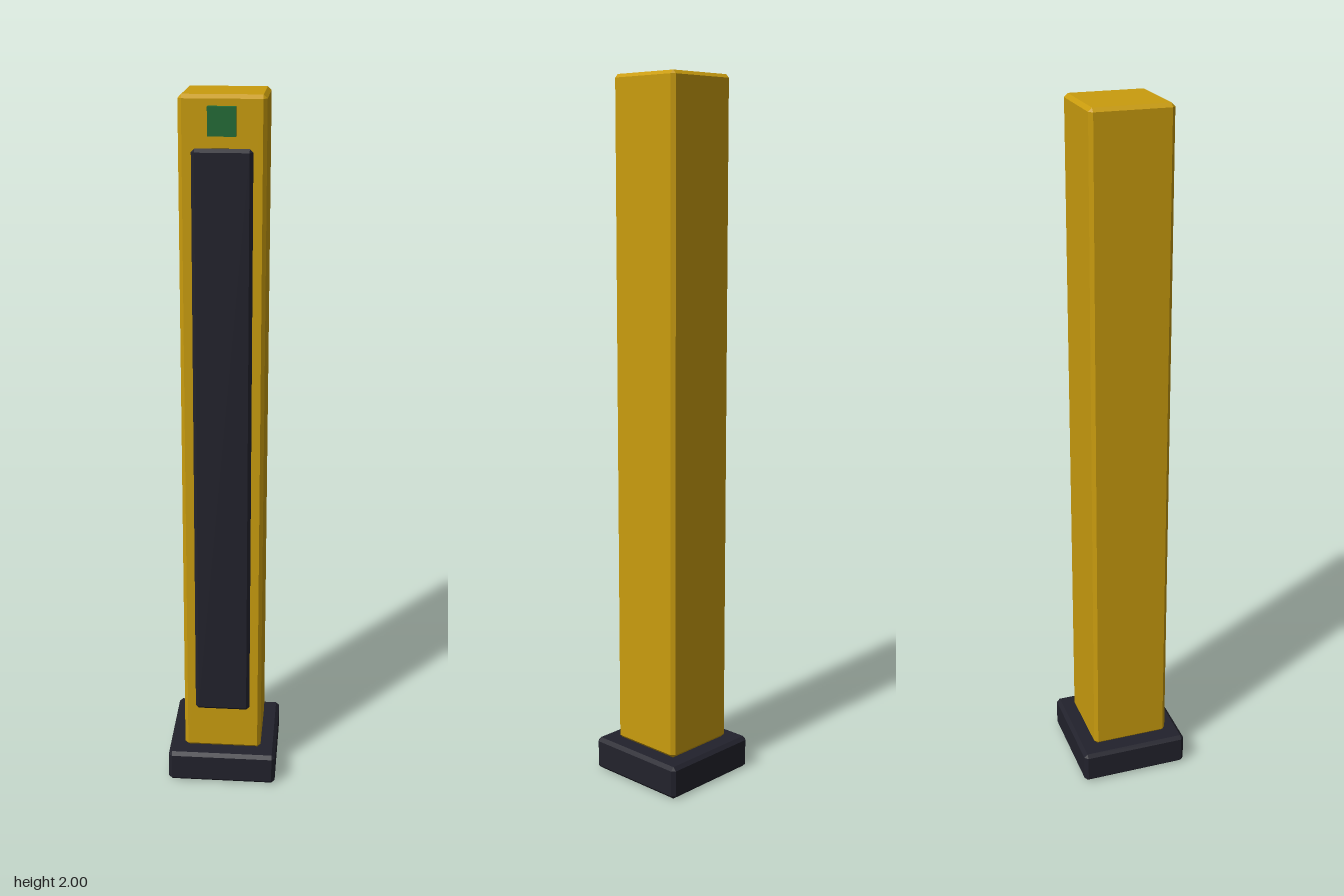
import * as THREE from 'three';
import { ConvexGeometry } from 'three/addons/geometries/ConvexGeometry.js';

// Box with every edge cut at 45 degrees by c
function chamferedBox(w, h, d, c) {
  const points = [];
  for (const x of [-w / 2, w / 2])
    for (const y of [-h / 2, h / 2])
      for (const z of [-d / 2, d / 2]) {
        const ix = x - Math.sign(x) * c, iy = y - Math.sign(y) * c, iz = z - Math.sign(z) * c;
        points.push(
          new THREE.Vector3(x, iy, iz),
          new THREE.Vector3(ix, y, iz),
          new THREE.Vector3(ix, iy, z)
        );
      }
  return new ConvexGeometry(points);
}

function makeMaterial(name, color) {
  const material = new THREE.MeshStandardMaterial({ color });
  material.name = name;
  return material;
}

export function createModel() {
  const group = new THREE.Group();
  group.name = 'post';
  const yellow = makeMaterial('yellow', 0xc99c0e);
  const dark = makeMaterial('darkGrey', 0x22222c);
  const green = makeMaterial('green', 0x206a35);

  const add = (name, geometry, material, y, z) => {
    const mesh = new THREE.Mesh(geometry, material);
    mesh.name = name;
    mesh.position.set(0, y, z);
    group.add(mesh);
  };

  // Square foot and tall column
  add('base', chamferedBox(0.318, 0.095, 0.318, 0.01), dark, 0.0475, 0);
  add('column', chamferedBox(0.227, 1.905, 0.227, 0.01), yellow, 1.0475, 0);

  // Long front panel with the small indicator above it
  add('frontPanel', chamferedBox(0.159, 1.637, 0.028, 0.009), dark, 1.0485, 0.112);
  add('indicator', new THREE.BoxGeometry(0.073, 0.073, 0.03), green, 1.936, 0.12);

  return group;
}
